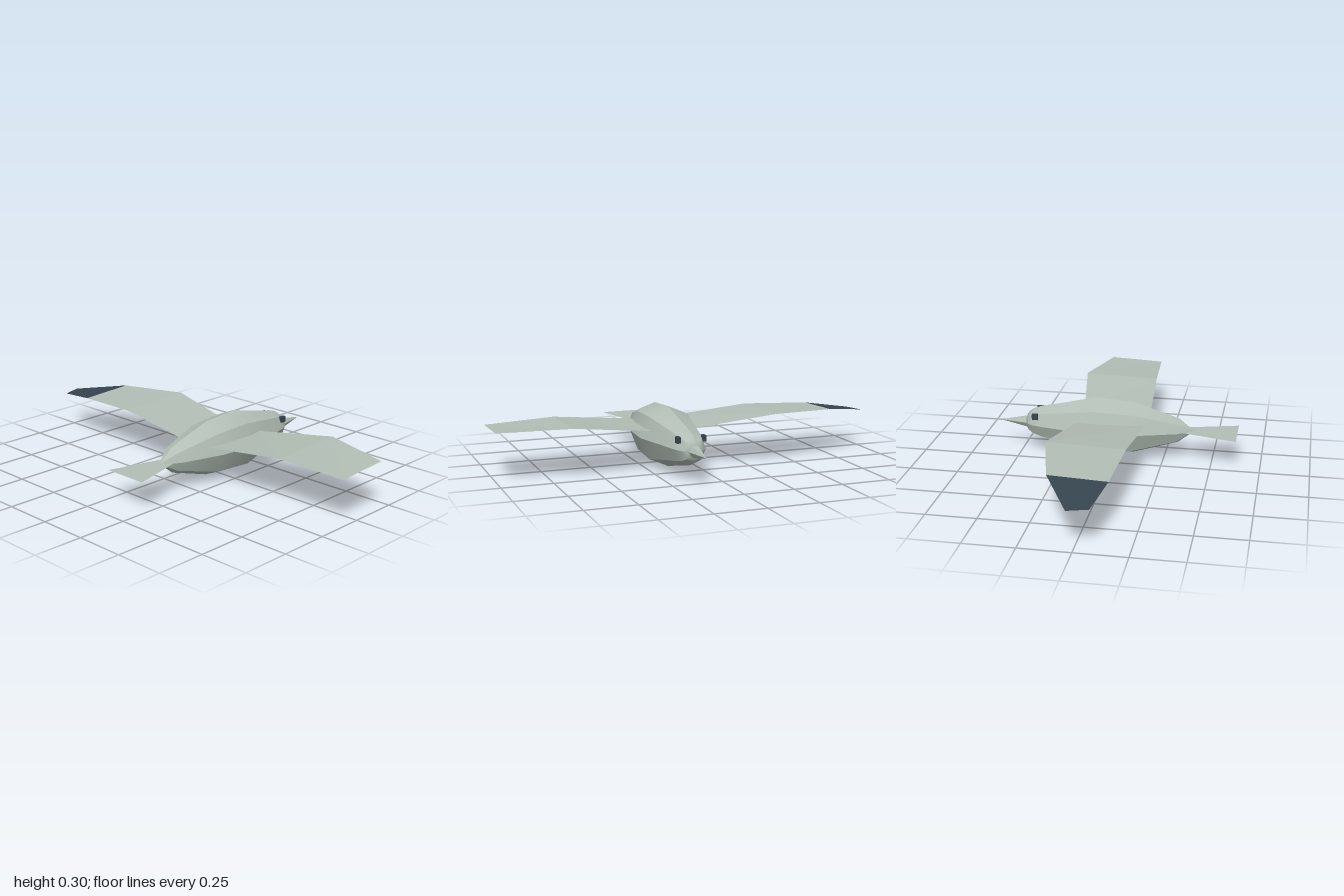
import * as THREE from 'three';
import { toCreasedNormals } from 'three/addons/utils/BufferGeometryUtils.js';

const AXIS_Y = 0.153, AXIS_Z = 0.13;

export function createModel() {
  const plumage = new THREE.MeshStandardMaterial({ color: 0xb2beb5, side: THREE.DoubleSide });
  plumage.name = 'ash grey plumage';
  const dark = new THREE.MeshStandardMaterial({ color: 0x36454f, side: THREE.DoubleSide });
  dark.name = 'charcoal';

  const bird = new THREE.Group();
  bird.name = 'bird';

  function add(name, geometry, material, x = 0, y = 0, z = 0, parent = bird) {
    const mesh = new THREE.Mesh(geometry, material);
    mesh.name = name;
    mesh.position.set(x, y, z);
    parent.add(mesh);
    return mesh;
  }

  // Thin sheet through pairs of [trailing, leading] points, root to tip
  function sheet(pairs) {
    const pos = [];
    for (let i = 0; i < pairs.length - 1; i++) {
      const [a, b] = pairs[i], [c, d] = pairs[i + 1];
      pos.push(...a, ...c, ...b, ...b, ...c, ...d);
    }
    const g = new THREE.BufferGeometry();
    g.setAttribute('position', new THREE.Float32BufferAttribute(pos, 3));
    g.computeVertexNormals();
    return g;
  }

  // Eight-sided body from tail to rounded head: [x, radius]
  const profile = [
    [-0.405, 0], [-0.32, 0.066], [-0.087, 0.139], [0.113, 0.152], [0.29, 0.109],
    [0.39, 0.088], [0.435, 0.073], [0.462, 0.055], [0.475, 0.035], [0.48, 0],
  ].map(([x, r]) => new THREE.Vector2(r, x));
  const body = new THREE.LatheGeometry(profile, 8);
  body.rotateZ(-Math.PI / 2);
  body.scale(1, 1, 0.95);
  add('body', toCreasedNormals(body, 0.55), plumage, 0, AXIS_Y, AXIS_Z);

  // Beak
  const beak = new THREE.ConeGeometry(0.031, 0.15, 6);
  beak.rotateZ(-Math.PI / 2);
  add('beak', toCreasedNormals(beak, 0.5), plumage, 0.547, 0.149, AXIS_Z);

  // Tail fan
  add('tail', sheet([
    [[-0.625, 0, 0.115], [-0.625, 0, -0.115]],
    [[-0.32, 0, 0.033], [-0.32, 0, -0.033]],
  ]), plumage, 0, AXIS_Y, AXIS_Z);

  // Wings and eyes on both sides; only the left wing-side +x heading bird's far wing keeps its dark tip
  const root = [[-0.162, 0.2, 0.1], [0.19, 0.2, 0.1]];
  const bend = [[-0.135, 0.243, 0.52], [0.257, 0.255, 0.52]];
  const wrist = [[-0.115, 0.23, 0.87], [0.17, 0.242, 0.87]];
  const tip = [[-0.073, 0.199, 1.1], [0.027, 0.199, 1.13]];
  const mirror = (pairs, s) => pairs.map(p => {
    const q = p.map(([x, y, z]) => [x, y, s * z]);
    return q;
  });
  for (const s of [1, -1]) {
    const side = s > 0 ? 'near' : 'far';
    // Swap edges on the mirrored side so the top stays the front face
    const make = pairs => sheet(mirror(pairs, s).map(p => (s > 0 ? p : [p[1], p[0]])));
    add(side + 'Wing', make([root, bend, wrist]), plumage, 0, 0, AXIS_Z);
    if (s < 0) add('farWingTip', make([wrist, tip]), dark, 0, 0, AXIS_Z);
    add(side + 'Eye', new THREE.BoxGeometry(0.03, 0.03, 0.018), dark, 0.42, 0.2, AXIS_Z + s * 0.065);
  }

  return bird;
}
